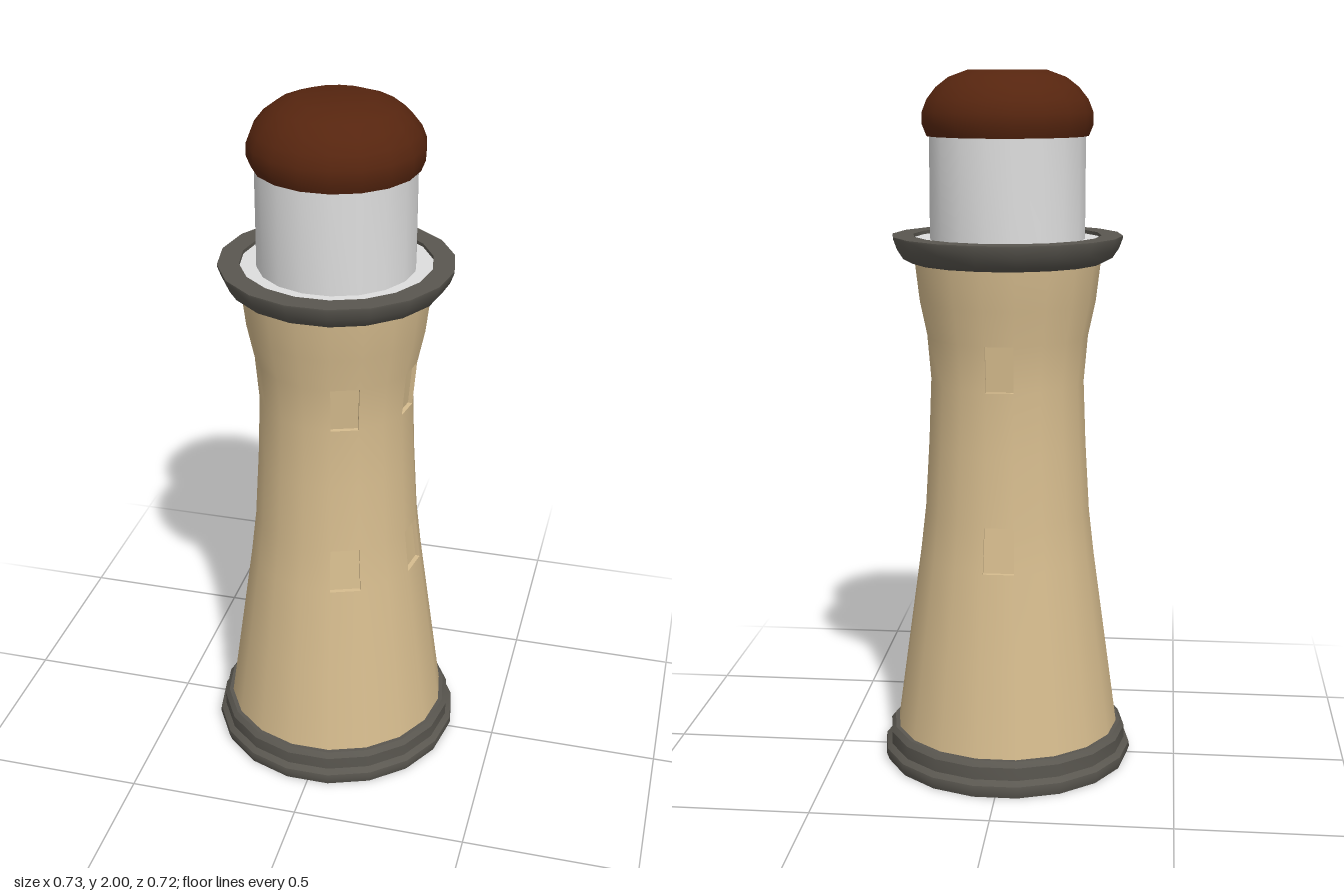
import * as THREE from 'three';
import { toCreasedNormals } from 'three/addons/utils/BufferGeometryUtils.js';

const SIDES = 18;
const material = (name, color) => {
  const m = new THREE.MeshStandardMaterial({ color });
  m.name = name;
  return m;
};

// Eighteen-sided turned shape from [radius, height] pairs, bottom to top
function turned(profile) {
  const points = profile.map(([r, y]) => new THREE.Vector2(r, y));
  return new THREE.LatheGeometry(points, SIDES, Math.PI / 2);
}

// Recess filling one facet of the tower between two profile rows
function pocketGeometry(segment, [r0, y0], [r1, y1], depth) {
  const step = (Math.PI * 2) / SIDES;
  const at = (s, r, y) => {
    const phi = Math.PI / 2 + s * step;
    return new THREE.Vector3(Math.sin(phi) * r, y, Math.cos(phi) * r);
  };
  const outer = [at(segment, r0, y0), at(segment + 1, r0, y0), at(segment + 1, r1, y1), at(segment, r1, y1)];
  const inward = at(segment + 0.5, -depth, 0);
  const inner = outer.map((p) => p.clone().add(inward));
  const corners = [];
  const quad = (a, b, c, d) => corners.push(a, b, c, a, c, d);
  quad(...inner);
  for (let i = 0; i < 4; i++) {
    const j = (i + 1) % 4;
    quad(outer[i], outer[j], inner[j], inner[i]);
  }
  const geometry = new THREE.BufferGeometry().setFromPoints(corners);
  geometry.computeVertexNormals();
  return geometry;
}

export function createModel() {
  const group = new THREE.Group();
  group.name = 'lighthouse';
  const sand = material('sandStone', 0xd6bc8e);
  const grey = material('darkGreyStone', 0x5a5750);
  const white = material('lanternWhite', 0xdedede);
  const brown = material('roofBrown', 0x56250f);

  const add = (name, geometry, mat) => {
    const mesh = new THREE.Mesh(geometry, mat);
    mesh.name = name;
    group.add(mesh);
  };
  const creased = (profile) => toCreasedNormals(turned(profile), 0.6);

  // Stepped plinth
  add('base', creased([
    [0, 0], [0.36, 0], [0.367, 0.02], [0.365, 0.035], [0.35, 0.048],
    [0.35, 0.085], [0.338, 0.1], [0, 0.1],
  ]), grey);

  // Waisted tower with window facets left open
  const towerProfile = [
    [0.326, 0.1], [0.29, 0.36], [0.254, 0.62], [0.239, 0.75], [0.227, 0.95],
    [0.22, 1.13], [0.231, 1.26], [0.252, 1.36], [0.265, 1.47],
  ];
  const windowRows = [2, 5];
  const windowSegments = [4, 9, 14, 17];
  const tower = turned(towerProfile);
  const rows = towerProfile.length - 1;
  const kept = Array.from(tower.index.array).filter((_, i) => {
    const face = Math.floor(i / 6);
    return !(windowRows.includes(face % rows) && windowSegments.includes(Math.floor(face / rows)));
  });
  tower.setIndex(kept);
  add('tower', tower, sand);

  // Recessed windows
  for (const row of windowRows) {
    for (const segment of windowSegments) {
      add('window', pocketGeometry(segment, towerProfile[row], towerProfile[row + 1], 0.013), sand);
    }
  }

  // Flared gallery with a raised rim
  add('gallery', creased([
    [0.2, 1.47], [0.272, 1.47], [0.298, 1.483], [0.316, 1.51], [0.327, 1.54],
    [0.327, 1.545], [0.267, 1.545], [0.267, 1.53],
  ]), grey);

  // Gallery floor and lantern room
  add('galleryFloor', creased([[0.267, 1.535], [0.2, 1.535]]), white);
  add('lanternRoom', creased([[0.22, 1.535], [0.22, 1.83]]), white);

  // Domed roof
  add('roof', creased([
    [0, 1.82], [0.228, 1.82], [0.24, 1.85], [0.24, 1.885], [0.226, 1.92],
    [0.2, 1.953], [0.165, 1.98], [0.11, 2], [0, 2],
  ]), brown);

  return group;
}
